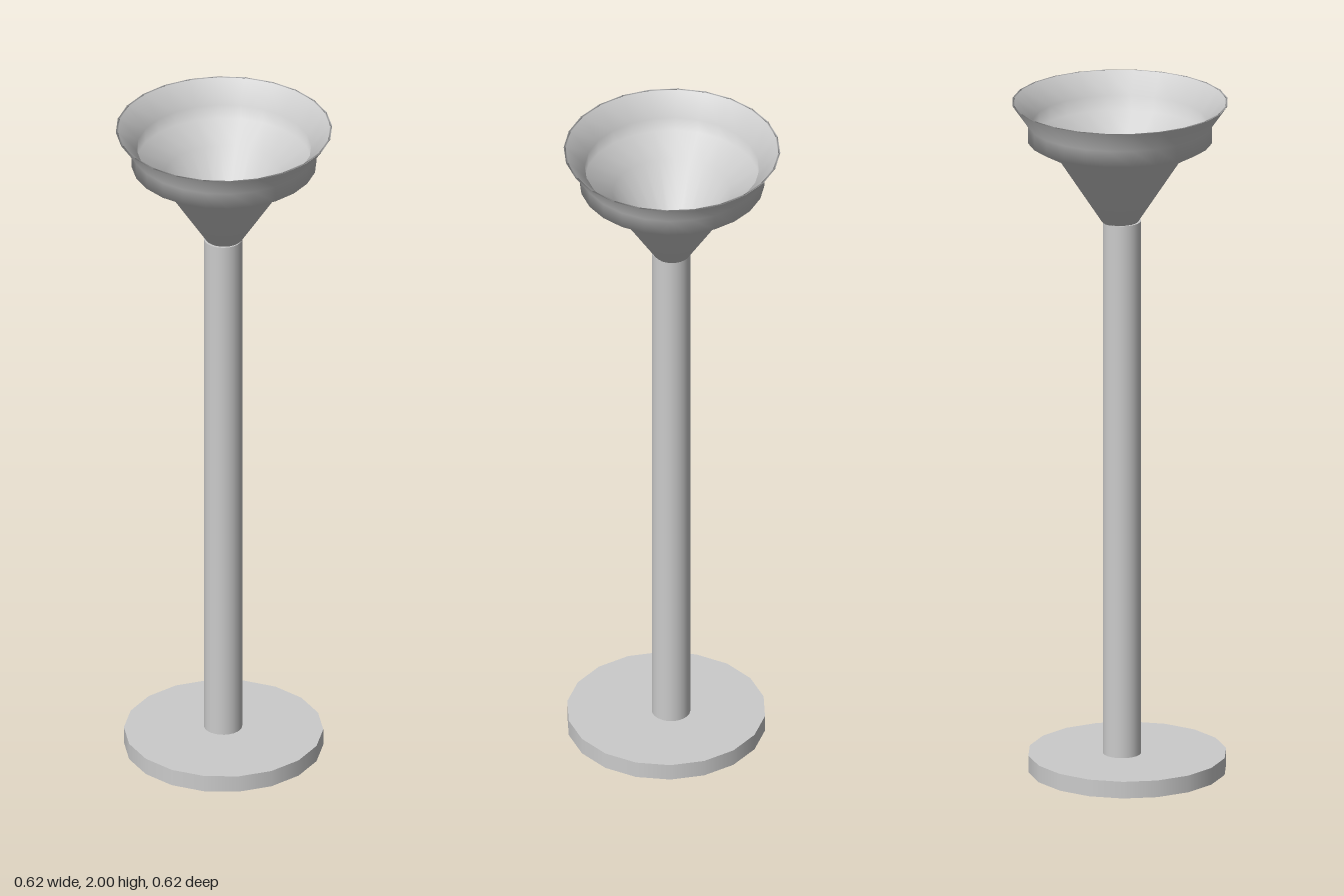
import * as THREE from 'three';

const material = new THREE.MeshStandardMaterial({ color: 0xcccccc });
const bowlMaterial = new THREE.MeshStandardMaterial({ color: 0xcccccc, side: THREE.DoubleSide });

export function createModel() {
  const group = new THREE.Group();
  const add = (name, geometry, x, y, z, mat = material) => {
    const mesh = new THREE.Mesh(geometry, mat);
    mesh.name = name;
    mesh.position.set(x, y, z);
    group.add(mesh);
    return mesh;
  };

  // Flat disc foot, slightly off the pole's axis
  const base = add('base', new THREE.CylinderGeometry(0.285, 0.285, 0.05, 18), -0.008, 0.025, 0.02);
  base.rotation.y = Math.PI / 2;

  // Slender pole
  add('pole', new THREE.CylinderGeometry(0.055, 0.055, 1.6, 24), -0.004, 0.845, 0.004);

  // Thin stepped funnel bowl: up the outside, over the rim, down the inside
  const profile = [
    [0, 1.643], [0.052, 1.643], [0.18, 1.84], [0.265, 1.887], [0.265, 1.935], [0.31, 2],
    [0.303, 2], [0.25, 1.94], [0.25, 1.896], [0.17, 1.852], [0.065, 1.68], [0, 1.68],
  ].map(([r, y]) => new THREE.Vector2(r, y));
  add('bowl', new THREE.LatheGeometry(profile, 24), 0, 0, 0, bowlMaterial);

  return group;
}
